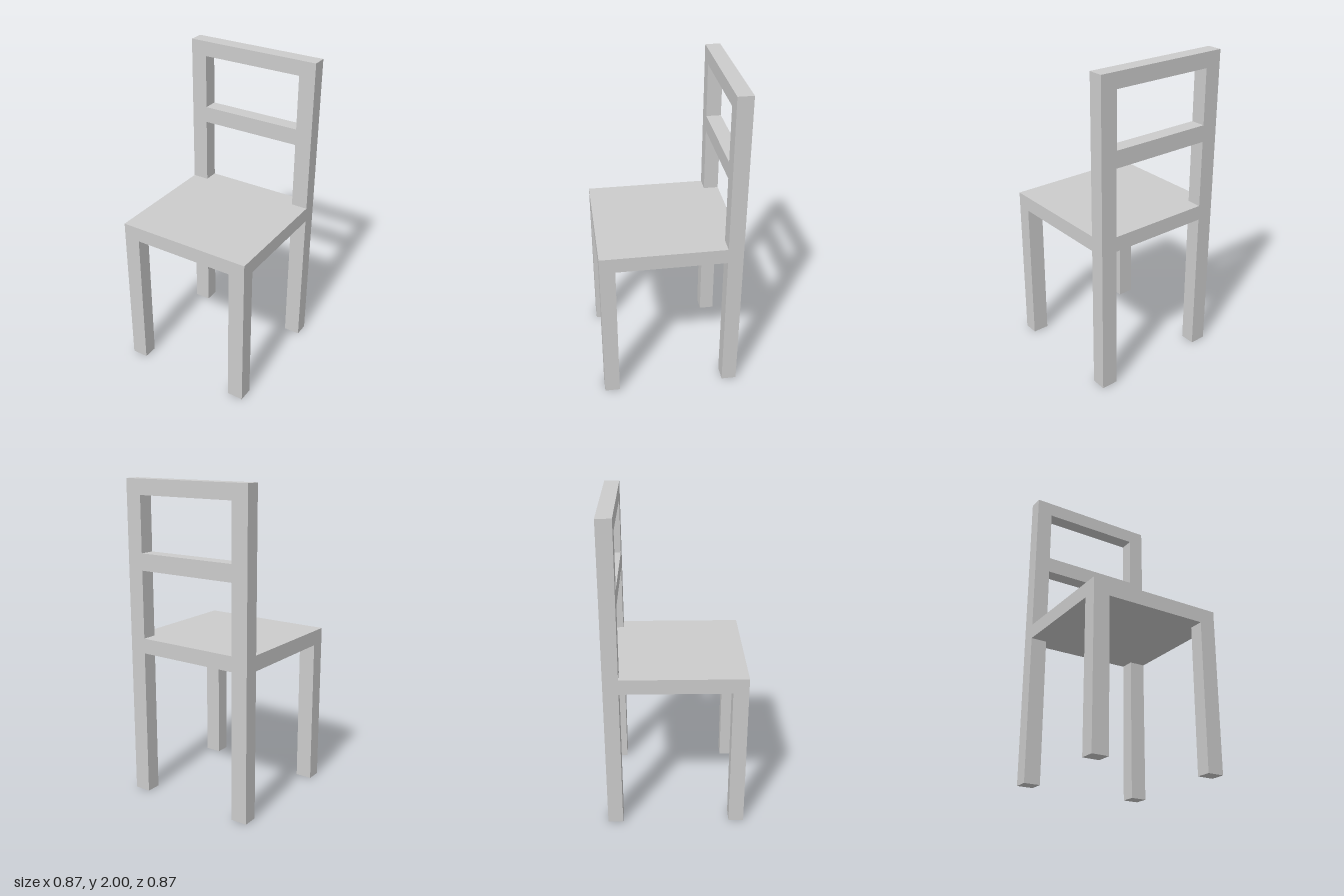
import * as THREE from 'three';

const HALF = 0.435;       // half width and half depth of the chair
const POST_X = 0.105;     // leg thickness across
const POST_Z = 0.095;     // leg thickness front to back
const INNER_X = HALF - POST_X;
const INNER_Z = HALF - POST_Z;
const SEAT_BOTTOM = 0.935;
const SEAT_TOP = 1.03;

export function createModel() {
  const chair = new THREE.Group();
  chair.name = 'chair';
  const material = new THREE.MeshStandardMaterial({ color: 0xcccccc, flatShading: true });

  // Box given by its extents along each axis
  function addBox(name, [x0, x1], [y0, y1], [z0, z1]) {
    const mesh = new THREE.Mesh(new THREE.BoxGeometry(x1 - x0, y1 - y0, z1 - z0), material);
    mesh.position.set((x0 + x1) / 2, (y0 + y1) / 2, (z0 + z1) / 2);
    mesh.name = name;
    chair.add(mesh);
  }

  const backZ = [-HALF, -INNER_Z];

  // Front legs stop under the seat; back posts run to the top
  for (const [side, xs] of [['left', [INNER_X, HALF]], ['right', [-HALF, -INNER_X]]]) {
    addBox(`${side}FrontLeg`, xs, [0, SEAT_BOTTOM], [INNER_Z, HALF]);
    addBox(`${side}BackPost`, xs, [0, 2], backZ);
  }

  // Seat slab in front of the posts
  addBox('seat', [-HALF, HALF], [SEAT_BOTTOM, SEAT_TOP], [-INNER_Z, HALF]);

  // Rails between the back posts, the lowest closing the seat's rear edge
  const rails = { seatRail: [SEAT_BOTTOM, SEAT_TOP], middleRail: [1.455, 1.56], topRail: [1.905, 2] };
  for (const [name, ys] of Object.entries(rails)) {
    addBox(name, [-INNER_X, INNER_X], ys, backZ);
  }

  return chair;
}
